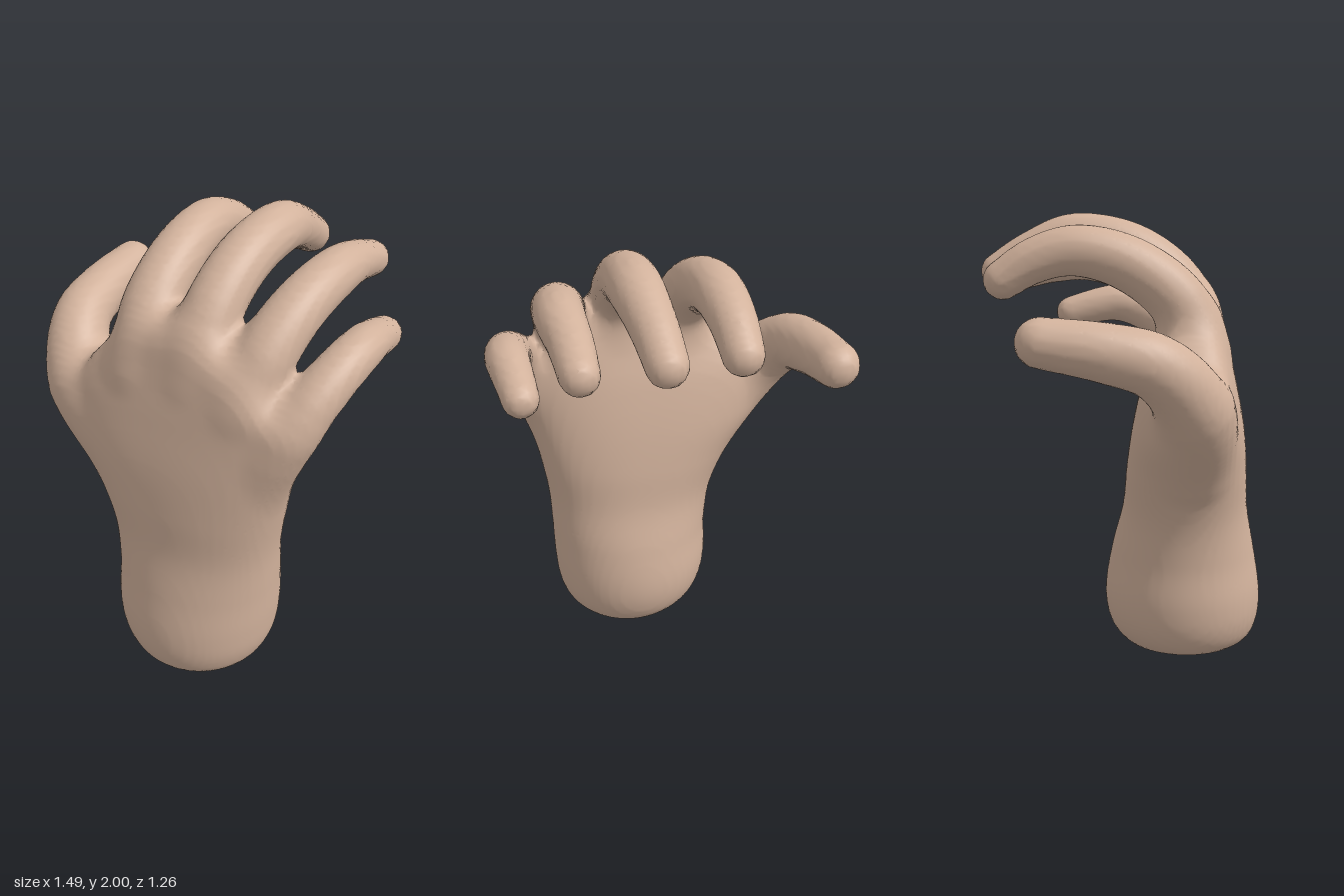
import * as THREE from 'three';

// Wrist and palm cross-sections, bottom to top: [y, xMin, xMax, zBack, zFront]
const SECTIONS = [
  [0.0, 0.04, 0.22, 0.18, 0.36],
  [0.03, -0.05, 0.31, 0.07, 0.47],
  [0.07, -0.15, 0.41, 0.0, 0.57],
  [0.16, -0.22, 0.465, -0.06, 0.62],
  [0.3, -0.25, 0.485, -0.08, 0.63],
  [0.5, -0.25, 0.49, -0.05, 0.6],
  [0.7, -0.28, 0.497, 0.0, 0.565],
  [0.9, -0.365, 0.525, 0.02, 0.555],
  [1.1, -0.49, 0.565, 0.05, 0.535],
  [1.3, -0.53, 0.615, 0.095, 0.495],
  [1.45, -0.42, 0.64, 0.14, 0.46],
  [1.6, -0.29, 0.6, 0.18, 0.425],
  [1.75, -0.2, 0.52, 0.2, 0.39],
];

// Height of the knuckle line across the palm: [x, y]
const KNUCKLES = [[-0.8, 1.22], [-0.55, 1.3], [-0.4, 1.4], [-0.28, 1.53], [0, 1.685],
  [0.27, 1.64], [0.52, 1.47], [0.65, 1.39], [0.9, 1.3]];

// Finger centre lines from inside the palm to the tip: [x, y, z, radius]
const DIGITS = {
  thumb: [[-0.24, 0.96, 0.31, 0.14], [-0.46, 1.22, 0.32, 0.15], [-0.59, 1.41, 0.17, 0.127],
    [-0.63, 1.47, -0.02, 0.115], [-0.65, 1.51, -0.268, 0.097]],
  index: [[-0.12, 1.42, 0.32, 0.13], [-0.135, 1.62, 0.25, 0.125], [-0.15, 1.78, 0.05, 0.115],
    [-0.165, 1.84, -0.18, 0.105], [-0.175, 1.8, -0.35, 0.093], [-0.18, 1.72, -0.485, 0.082]],
  middle: [[0.15, 1.45, 0.31, 0.12], [0.15, 1.67, 0.25, 0.118], [0.157, 1.84, 0.04, 0.113],
    [0.16, 1.89, -0.22, 0.107], [0.14, 1.83, -0.4, 0.093], [0.125, 1.745, -0.55, 0.082]],
  ring: [[0.36, 1.4, 0.31, 0.12], [0.395, 1.58, 0.24, 0.118], [0.43, 1.73, 0.05, 0.11],
    [0.45, 1.79, -0.17, 0.1], [0.44, 1.77, -0.35, 0.088], [0.435, 1.725, -0.51, 0.078]],
  little: [[0.41, 1.02, 0.3, 0.09], [0.5, 1.23, 0.31, 0.105], [0.583, 1.4, 0.26, 0.105],
    [0.636, 1.53, 0.1, 0.097], [0.652, 1.575, -0.05, 0.09], [0.643, 1.56, -0.17, 0.082],
    [0.633, 1.53, -0.285, 0.075]],
};

// Smooth interpolation through rows keyed by their first number
function sample(rows, key, col) {
  const last = rows.length - 1;
  let i = 0;
  while (i < last - 1 && key > rows[i + 1][0]) i++;
  const slope = (j) => {
    const a = rows[Math.max(j - 1, 0)], b = rows[Math.min(j + 1, last)];
    return (b[col] - a[col]) / (b[0] - a[0]);
  };
  const [p, q] = [rows[i], rows[i + 1]];
  const h = q[0] - p[0];
  const t = THREE.MathUtils.clamp((key - p[0]) / h, 0, 1);
  const s = t * t * (3 - 2 * t);
  return p[col] * (1 - s) + q[col] * s
    + h * t * (1 - t) * ((1 - t) * slope(i) - t * slope(i + 1));
}

// Smooth union of two distances
function blend(a, b, k) {
  const h = Math.max(k - Math.abs(a - b), 0) / k;
  return Math.min(a, b) - h * h * k / 4;
}

// A finger as a chain of tapered capsules along a curve
function makeDigit(points) {
  const curve = new THREE.CatmullRomCurve3(points.map((p) => new THREE.Vector3(p[0], p[1], p[2])));
  const n = 24;
  return Array.from({ length: n + 1 }, (_, i) => {
    const f = (i / n) * (points.length - 1);
    const j = Math.min(Math.floor(f), points.length - 2);
    const p = curve.getPoint(i / n);
    return [p.x, p.y, p.z, THREE.MathUtils.lerp(points[j][3], points[j + 1][3], f - j)];
  });
}

function digitDistance(chain, x, y, z) {
  let best = Infinity;
  for (let i = 0; i < chain.length - 1; i++) {
    const a = chain[i], b = chain[i + 1];
    const ux = b[0] - a[0], uy = b[1] - a[1], uz = b[2] - a[2];
    const px = x - a[0], py = y - a[1], pz = z - a[2];
    const t = Math.min(1, Math.max(0, (px * ux + py * uy + pz * uz) / (ux * ux + uy * uy + uz * uz)));
    const dx = px - ux * t, dy = py - uy * t, dz = pz - uz * t;
    best = Math.min(best, Math.sqrt(dx * dx + dy * dy + dz * dz) - a[3] - (b[3] - a[3]) * t);
  }
  return best;
}

// Oval wrist growing into a squarer palm, closed by the knuckle line and the base
function palmDistance([x0, x1, z0, z1], top, x, y, z) {
  const a = (x1 - x0) / 2, b = (z1 - z0) / 2;
  const n = 2 + 0.4 * THREE.MathUtils.smoothstep(y, 0.4, 1.1);
  const u = Math.abs(x - (x0 + x1) / 2) / a, v = Math.abs(z - (z0 + z1) / 2) / b;
  const side = (Math.pow(Math.pow(u, n) + Math.pow(v, n), 1 / n) - 1) * Math.min(a, b);
  return Math.max(-blend(-side, -(y - top) * 0.8, 0.1), -y);
}

// Skin the distance field: one vertex per crossed cell, one quad per crossed edge
function skin(min, size, step, fillField) {
  const stride = [1, size[0], size[0] * size[1]];
  const field = fillField(min, size, step);
  const cellVertex = new Int32Array(field.length).fill(-1);
  const positions = [], indices = [];
  const forCells = (start, visit) => {
    for (let k = start; k < size[2] - 1; k++)
      for (let j = start; j < size[1] - 1; j++)
        for (let i = start; i < size[0] - 1; i++) visit([i, j, k], i + j * stride[1] + k * stride[2]);
  };
  forCells(0, (cell, id) => {
    const sum = [0, 0, 0];
    let count = 0;
    for (let axis = 0; axis < 3; axis++) {
      const u = (axis + 1) % 3, v = (axis + 2) % 3;
      for (let c = 0; c < 4; c++) {
        const start = id + (c & 1) * stride[u] + (c >> 1) * stride[v];
        const a = field[start], b = field[start + stride[axis]];
        if ((a < 0) === (b < 0)) continue;
        sum[axis] += a / (a - b);
        sum[u] += c & 1;
        sum[v] += c >> 1;
        count++;
      }
    }
    if (!count) return;
    cellVertex[id] = positions.length / 3;
    for (let d = 0; d < 3; d++) positions.push(min[d] + step * (cell[d] + sum[d] / count));
  });
  forCells(1, (cell, id) => {
    for (let axis = 0; axis < 3; axis++) {
      const inside = field[id] < 0;
      if (inside === (field[id + stride[axis]] < 0)) continue;
      const u = stride[(axis + 1) % 3], v = stride[(axis + 2) % 3];
      const q = [id, id - u, id - u - v, id - v].map((c) => cellVertex[c]);
      if (!inside) q.reverse();
      indices.push(q[0], q[1], q[2], q[0], q[2], q[3]);
    }
  });
  const geometry = new THREE.BufferGeometry();
  geometry.setAttribute('position', new THREE.Float32BufferAttribute(positions, 3));
  geometry.setIndex(indices);
  geometry.computeVertexNormals();
  return geometry;
}

// Palm, wrist and the five digits melted into one field
function fillHand(min, size, step) {
  const digits = Object.values(DIGITS).map(makeDigit);
  const field = new Float32Array(size[0] * size[1] * size[2]);
  const tops = Array.from({ length: size[0] }, (_, i) => sample(KNUCKLES, min[0] + i * step, 1));
  for (let j = 0; j < size[1]; j++) {
    const y = min[1] + j * step;
    const section = [1, 2, 3, 4].map((col) => sample(SECTIONS, y, col));
    for (let k = 0; k < size[2]; k++)
      for (let i = 0; i < size[0]; i++) {
        const x = min[0] + i * step, z = min[2] + k * step;
        let d = palmDistance(section, tops[i], x, y, z);
        for (const chain of digits) d = blend(d, digitDistance(chain, x, y, z), 0.06);
        field[i + size[0] * (j + size[1] * k)] = d;
      }
  }
  return field;
}

export function createModel() {
  const skinTone = new THREE.MeshStandardMaterial({ color: 0xd2b29c });
  skinTone.name = 'skin';
  const group = new THREE.Group();
  group.name = 'handModel';
  const hand = new THREE.Mesh(skin([-0.81, -0.05, -0.7], [75, 97, 64], 0.022, fillHand), skinTone);
  hand.name = 'hand';
  group.add(hand);
  return group;
}
